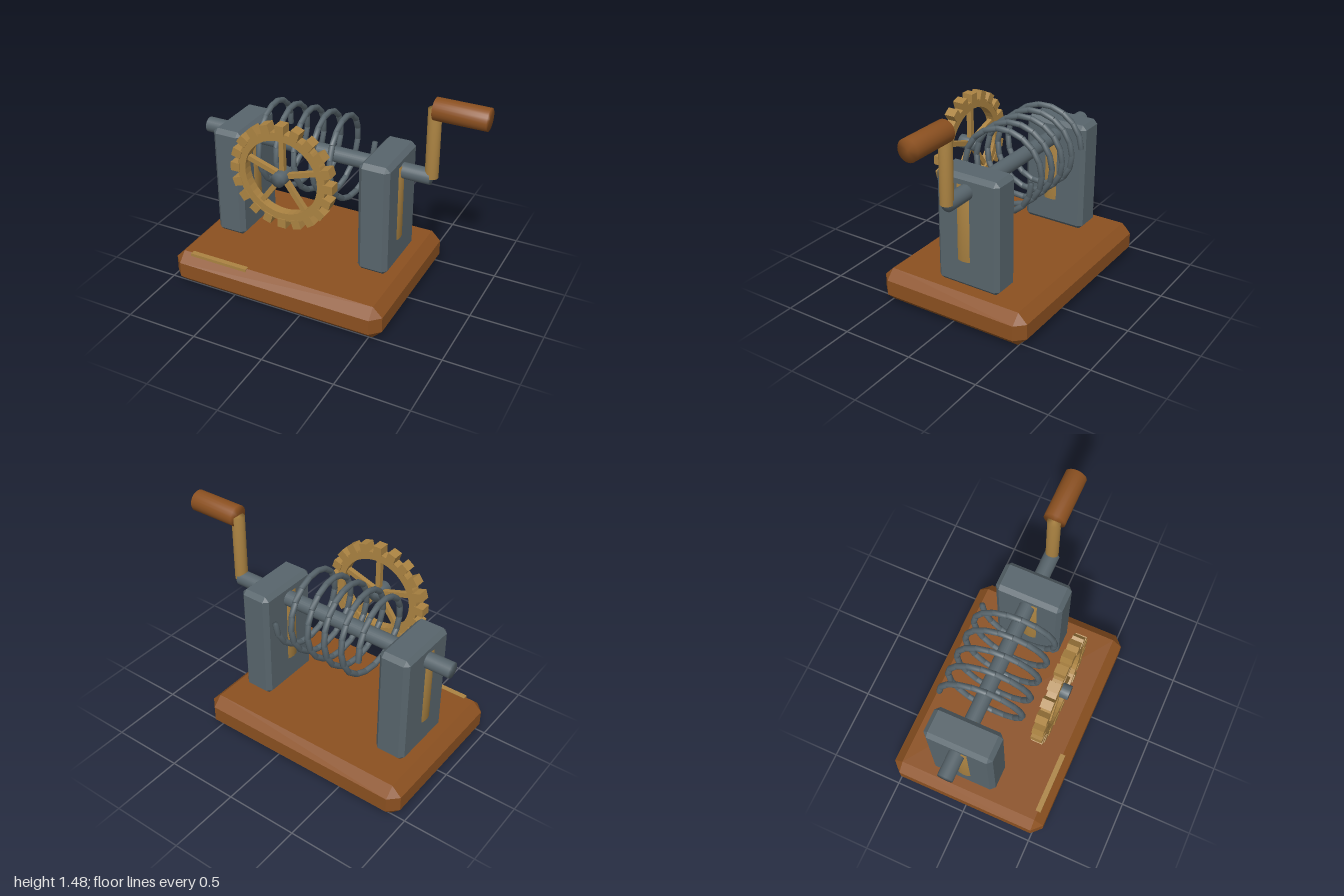
import * as THREE from 'three';
import { mergeGeometries, mergeVertices } from 'three/addons/utils/BufferGeometryUtils.js';
import { ConvexGeometry } from 'three/addons/geometries/ConvexGeometry.js';

const material = (name, color) => {
  const m = new THREE.MeshStandardMaterial({ color });
  m.name = name;
  return m;
};

// Box with a single flat chamfer on every edge
function chamferBox(w, h, d, c) {
  const points = [];
  const [x, y, z] = [w / 2, h / 2, d / 2];
  for (const sx of [-1, 1]) for (const sy of [-1, 1]) for (const sz of [-1, 1]) {
    points.push(
      new THREE.Vector3(sx * x, sy * (y - c), sz * (z - c)),
      new THREE.Vector3(sx * (x - c), sy * y, sz * (z - c)),
      new THREE.Vector3(sx * (x - c), sy * (y - c), sz * z)
    );
  }
  return new ConvexGeometry(points);
}

// Cylinder between two points, with normals softened over the caps
function rod(a, b, radius, sides = 24) {
  const dir = b.clone().sub(a);
  let geo = new THREE.CylinderGeometry(radius, radius, dir.length(), sides);
  geo.deleteAttribute('normal');
  geo.deleteAttribute('uv');
  geo = mergeVertices(geo);
  geo.computeVertexNormals();
  const turn = new THREE.Quaternion().setFromUnitVectors(new THREE.Vector3(0, 1, 0), dir.normalize());
  geo.applyQuaternion(turn);
  const mid = a.clone().add(b).multiplyScalar(0.5);
  return geo.translate(mid.x, mid.y, mid.z);
}

export function createModel() {
  const wood = material('wood', 0x8b5020);
  const brass = material('brass', 0xab8342);
  const steel = material('steel', 0x58656c);

  const model = new THREE.Group();
  model.name = 'crankMachine';
  const V = (x, y, z) => new THREE.Vector3(x, y, z);
  const add = (name, geo, mat, x = 0, y = 0, z = 0, parent = model) => {
    const mesh = new THREE.Mesh(geo, mat);
    mesh.name = name;
    mesh.position.set(x, y, z);
    parent.add(mesh);
    return mesh;
  };

  const midX = -0.186, axisY = 0.928, axisZ = -0.065;

  // Base and its brass plate
  add('base', chamferBox(1.546, 0.24, 1.12, 0.066), wood, midX, 0.12, 0);
  add('plate', new THREE.BoxGeometry(0.43, 0.024, 0.036), brass, -0.615, 0.231, 0.494);

  // Posts, each with a round brass bearing showing through its sides
  for (const side of [-1, 1]) {
    const x = midX + side * 0.538;
    const prefix = side < 0 ? 'right' : 'left';
    add(prefix + 'Post', chamferBox(0.214, 0.795, 0.468, 0.03), steel, x, 0.6375, axisZ);
    add(prefix + 'Bearing', rod(V(x, 0.433, -0.043), V(x, 0.97, -0.043), 0.1175), brass);
  }

  // Shaft, crank arm and handle
  add('shaft', rod(V(-1, axisY, axisZ), V(0.653, axisY, axisZ), 0.053), steel);
  add('crankArm', rod(V(0.653, axisY, axisZ), V(0.653, 1.403, axisZ), 0.044), brass);
  add('handle', rod(V(0.655, 1.403, axisZ), V(1, 1.403, axisZ), 0.073), wood);

  // Coil made of short straight rods
  const turns = 5, perTurn = 18, links = [];
  const coilPoint = (i) => {
    const a = (i / perTurn) * Math.PI * 2;
    return V(-0.508 + 0.129 * i / perTurn, axisY + 0.273 * Math.sin(a), axisZ - 0.273 * Math.cos(a));
  };
  for (let i = 0; i < turns * perTurn; i++) links.push(rod(coilPoint(i), coilPoint(i + 1), 0.02, 8));
  add('coil', mergeGeometries(links), steel);

  // Gear: rim, teeth, spokes and hub
  const gear = new THREE.Group();
  gear.name = 'gear';
  gear.position.set(midX, axisY, 0.347);
  model.add(gear);

  const ring = new THREE.Shape().absarc(0, 0, 0.313, 0, Math.PI * 2);
  ring.holes.push(new THREE.Path().absarc(0, 0, 0.258, 0, Math.PI * 2, true));
  const rim = new THREE.ExtrudeGeometry(ring, { depth: 0.064, bevelEnabled: false, curveSegments: 20 });
  add('gearRim', rim, brass, 0, 0, -0.032, gear);

  for (let i = 0; i < 20; i++) {
    const a = (i / 20) * Math.PI * 2;
    const tooth = add('tooth', new THREE.BoxGeometry(0.064, 0.06, 0.075), brass,
      0.333 * Math.cos(a), 0.333 * Math.sin(a), 0, gear);
    tooth.rotation.z = a;
  }
  for (let i = 0; i < 5; i++) {
    const a = Math.PI / 2 + (i / 5) * Math.PI * 2;
    const spoke = add('spoke', new THREE.BoxGeometry(0.27, 0.034, 0.034), brass,
      0.135 * Math.cos(a), 0.135 * Math.sin(a), 0, gear);
    spoke.rotation.z = a;
  }
  add('gearHub', rod(V(0, 0, -0.053), V(0, 0, 0.073), 0.048), steel, 0, 0, 0, gear);

  return model;
}
